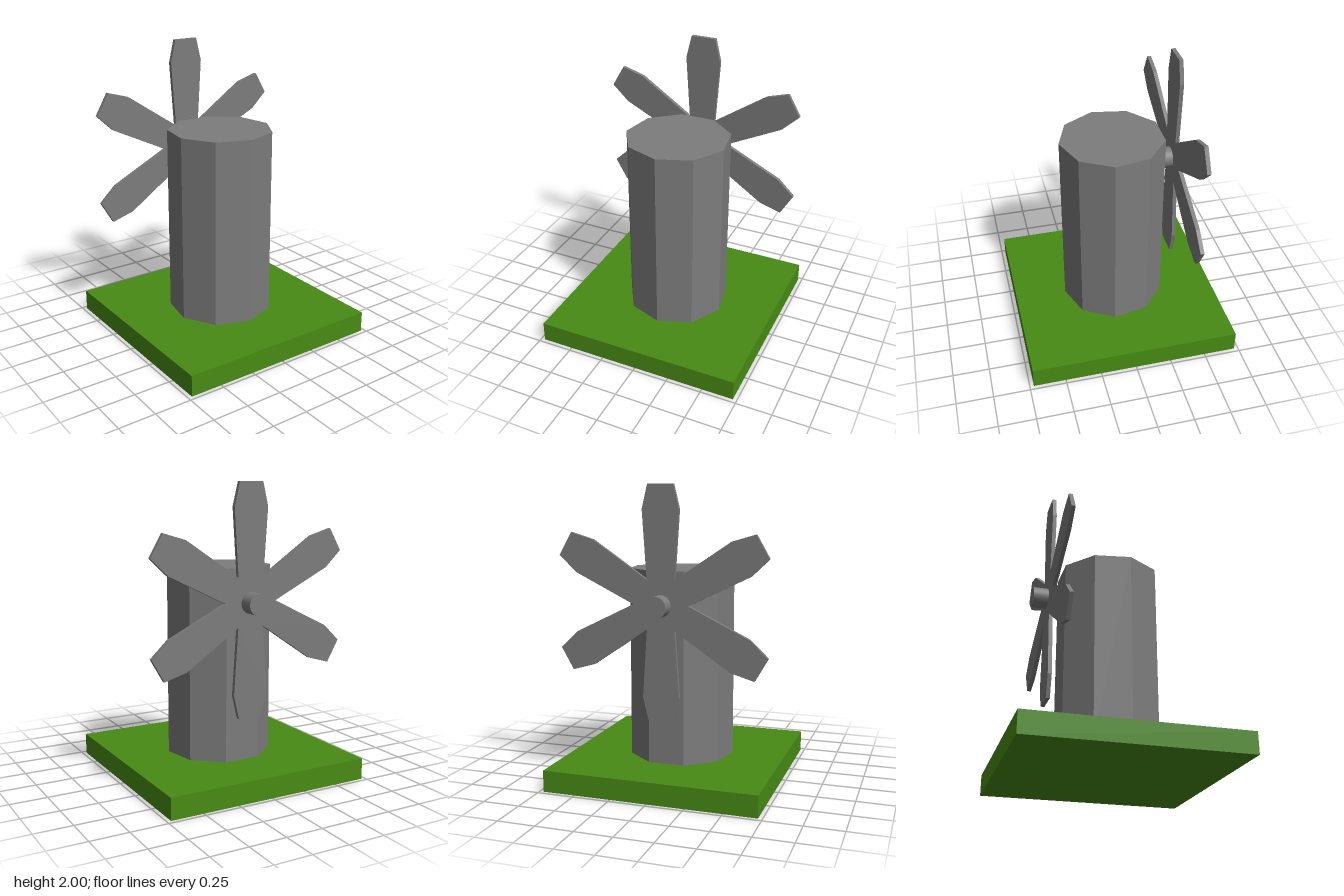
import * as THREE from 'three';

const grey = new THREE.MeshStandardMaterial({ color: 0x7c7c7c, flatShading: true });
const smoothGrey = new THREE.MeshStandardMaterial({ color: 0x7c7c7c });
const green = new THREE.MeshStandardMaterial({ color: 0x488b14, flatShading: true });

const BASE_H = 0.145, TOWER_H = 1.3, HUB_Y = 1.233;

function addPart(group, name, geometry, material, x, y) {
  const mesh = new THREE.Mesh(geometry, material);
  mesh.name = name;
  mesh.position.set(x, y, 0);
  group.add(mesh);
}

// Six-bladed outline: each blade widens outwards, then tapers to a blunt tip
function rotorShape(blades) {
  const step = (Math.PI * 2) / blades;
  // [distance along blade, sideways offset]; the first point is the notch between two blades
  const outline = [[0.162, -0.0935], [0.61, -0.124], [0.767, -0.086], [0.767, 0.086], [0.61, 0.124]];
  const points = [];
  for (let i = 0; i < blades; i++) {
    const angle = Math.PI / 2 + i * step;
    for (const [r, w] of outline) {
      points.push(new THREE.Vector2(r, w).rotateAround(new THREE.Vector2(), angle));
    }
  }
  return new THREE.Shape(points);
}

export function createModel() {
  const model = new THREE.Group();
  model.name = 'windmill';

  // Square grass base
  addPart(model, 'base', new THREE.BoxGeometry(1.445, BASE_H, 1.445), green, 0, BASE_H / 2);

  // Nine-sided tower with one corner pointing to +x
  const tower = new THREE.CylinderGeometry(0.36, 0.36, TOWER_H, 9, 1, false, Math.PI / 2);
  addPart(model, 'tower', tower, grey, 0, BASE_H + TOWER_H / 2);

  // Axle sticking out of the tower's flat side
  const axle = new THREE.CylinderGeometry(0.071, 0.071, 0.225, 32).rotateZ(Math.PI / 2);
  addPart(model, 'axle', axle, smoothGrey, -0.4325, HUB_Y - 0.005);

  // Rotor, turned to spin about the x axis
  const rotor = new THREE.ExtrudeGeometry(rotorShape(6), { depth: 0.027, bevelEnabled: false });
  rotor.rotateY(-Math.PI / 2);
  addPart(model, 'rotor', rotor, grey, -0.414, HUB_Y);

  return model;
}
